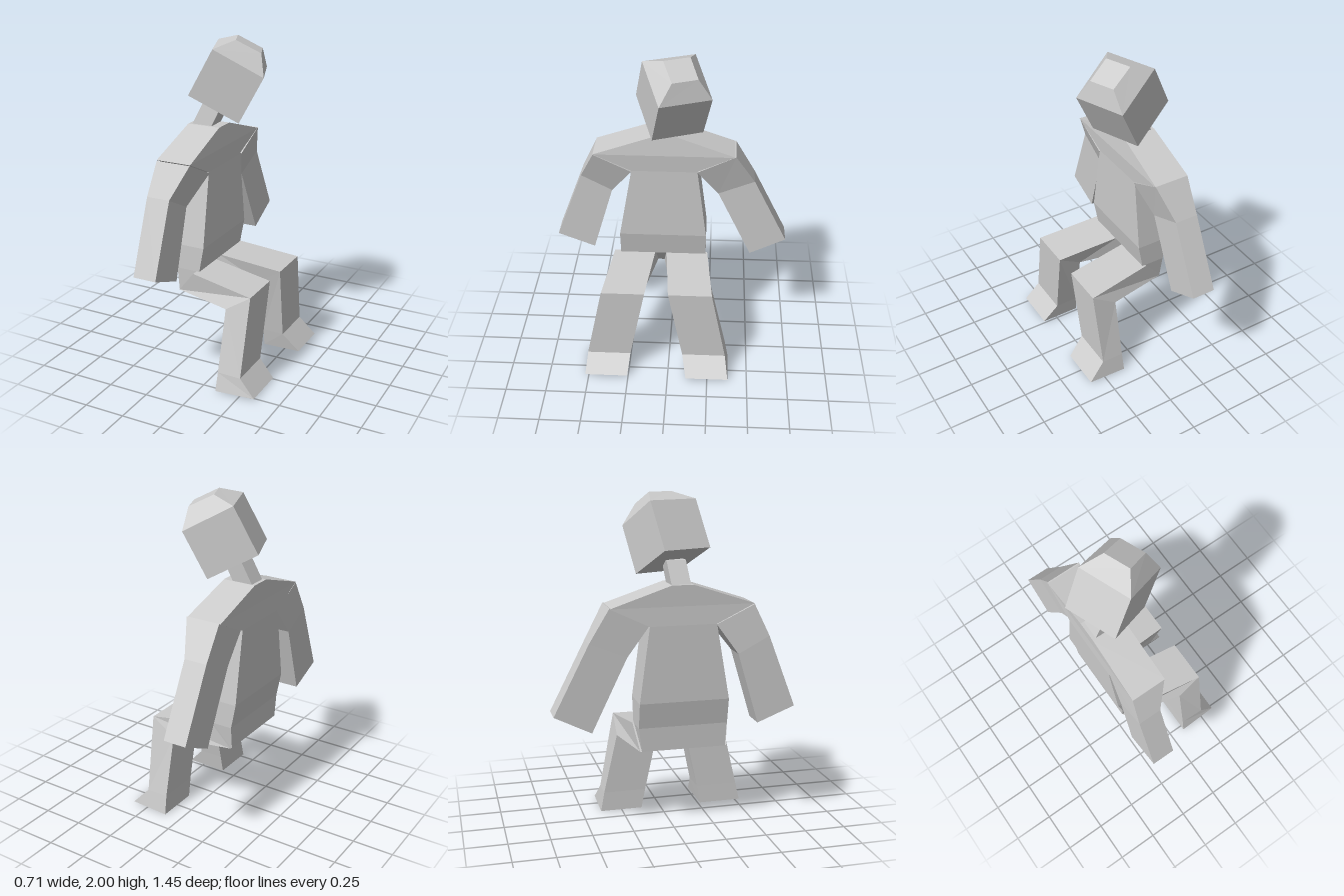
import * as THREE from 'three';

const material = new THREE.MeshStandardMaterial({ color: 0xcccccc, flatShading: true });

// Closed skin through a list of four-cornered rings, turned to face outwards.
function loft(name, rings) {
  const triangles = [];
  const quad = (a, b, c, d) => triangles.push([a, b, c], [a, c, d]);
  for (let i = 0; i < rings.length - 1; i++) {
    for (let j = 0; j < 4; j++) {
      const k = (j + 1) % 4;
      quad(rings[i][j], rings[i][k], rings[i + 1][k], rings[i + 1][j]);
    }
  }
  const last = rings[rings.length - 1];
  quad(...[...rings[0]].reverse());
  quad(...last);

  const v = (p) => new THREE.Vector3(...p);
  const volume = triangles.reduce((sum, [a, b, c]) => sum + v(a).dot(v(b).cross(v(c))), 0);
  if (volume < 0) triangles.forEach((t) => t.reverse());

  const geometry = new THREE.BufferGeometry();
  geometry.setAttribute('position', new THREE.Float32BufferAttribute(triangles.flat(2), 3));
  geometry.computeVertexNormals();
  const mesh = new THREE.Mesh(geometry, material);
  mesh.name = name;
  return mesh;
}

// Level ring: height, back and front x, far and near z.
const level = (y, x0, x1, z0, z1) => [[x0, y, z0], [x1, y, z0], [x1, y, z1], [x0, y, z1]];

// Arm ring: outer and inner [y, z] points, spanning back x to front x.
const armRing = ([yo, zo], [yi, zi], x0, x1) =>
  [[x0, yo, zo], [x1, yo, zo], [x1, yi, zi], [x0, yi, zi]];

// Leg ring: front and rear [x, y, outer z, inner z] edges.
const legRing = ([xf, yf, of, nf], [xr, yr, or, nr]) =>
  [[xf, yf, of], [xf, yf, nf], [xr, yr, nr], [xr, yr, or]];

export function createModel() {
  const model = new THREE.Group();
  model.name = 'seatedFigure';

  // Body
  model.add(loft('torso', [
    level(0.645, -0.27, -0.12, -0.22, 0.32),
    level(0.80, -0.30, -0.09, -0.22, 0.32),
    level(1.255, -0.305, -0.09, -0.16, 0.24),
    level(1.365, -0.30, -0.082, -0.39, 0.47),
    level(1.487, -0.303, -0.095, -0.03, 0.10),
  ]));
  model.add(loft('pelvis', [
    level(0.645, -0.27, -0.14, -0.22, 0.32),
    level(0.50, -0.265, -0.258, -0.20, 0.31),
  ]));
  model.add(loft('neck', [
    level(1.47, -0.29, -0.16, -0.025, 0.09),
    level(1.62, -0.215, -0.09, -0.04, 0.075),
  ]));

  // Head: tilted box with a bevelled crown
  const base = [[-0.355, 1.69, -0.085], [-0.235, 1.69, 0.215], [0.035, 1.53, 0.105], [-0.085, 1.53, -0.19]];
  const brow = base.map(([x, y, z]) => [x + 0.135, y + 0.27, z - 0.05]);
  const crown = [[-0.077, 2, -0.11], [-0.015, 2, 0.04], [0.12, 1.925, -0.015], [0.06, 1.925, -0.16]];
  model.add(loft('head', [base, brow, crown]));

  // Arms: shoulder, elbow, wrist
  model.add(loft('rightArm', [
    armRing([1.36, 0.47], [1.25, 0.24], -0.30, -0.085),
    armRing([1.17, 0.56], [1.07, 0.37], -0.315, -0.17),
    armRing([0.735, 0.725], [0.645, 0.495], -0.32, -0.175),
  ]));
  model.add(loft('leftArm', [
    armRing([1.37, -0.39], [1.26, -0.16], -0.295, -0.08),
    armRing([1.17, -0.51], [1.08, -0.29], -0.29, -0.145),
    armRing([0.755, -0.72], [0.645, -0.50], -0.29, -0.145),
  ]));

  // Legs: hip, knee, ankle, sole
  model.add(loft('rightLeg', [
    legRing([-0.14, 0.645, 0.36, 0.10], [-0.26, 0.50, 0.32, 0.09]),
    legRing([0.265, 0.595, 0.41, 0.145], [0.11, 0.495, 0.42, 0.165]),
    legRing([0.25, 0.115, 0.51, 0.24], [0.10, 0.115, 0.505, 0.245]),
    legRing([0.345, 0.01, 0.522, 0.255], [0.095, 0, 0.53, 0.265]),
  ]));
  model.add(loft('leftLeg', [
    legRing([-0.14, 0.645, -0.23, 0.03], [-0.26, 0.50, -0.21, 0.05]),
    legRing([0.265, 0.595, -0.268, 0], [0.11, 0.495, -0.275, -0.015]),
    legRing([0.25, 0.12, -0.36, -0.09], [0.112, 0.12, -0.36, -0.095]),
    legRing([0.352, 0.01, -0.38, -0.115], [0.108, 0, -0.382, -0.12]),
  ]));

  return model;
}
